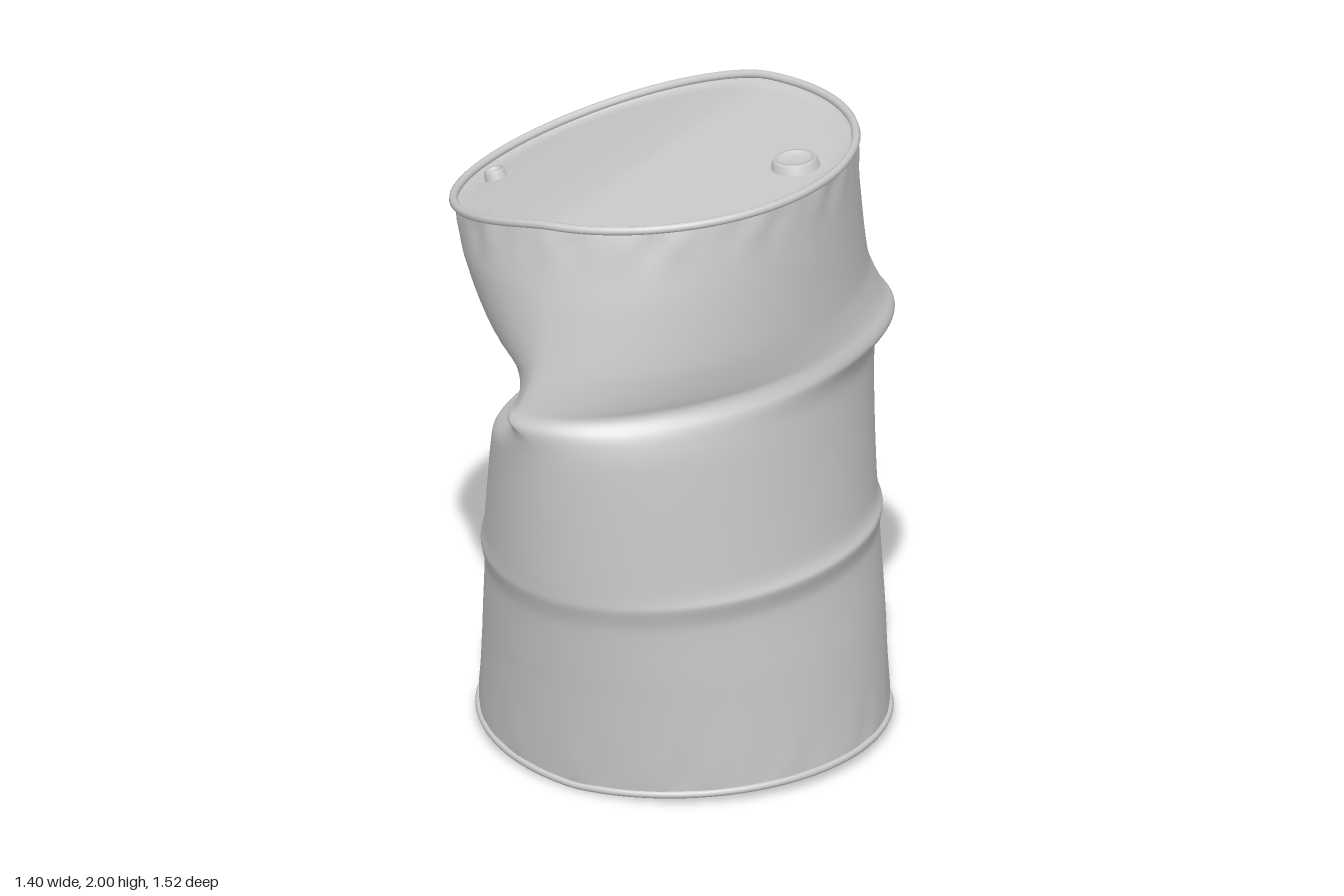
import * as THREE from 'three';

const SEG = 112;

// Body stations, bottom to top: y at left / middle / right of the ring, xMin, xMax, half depth
const STATIONS = [
  [0.045, 0.012, 0.04, -0.60, 0.69, 0.638],
  [0.38, 0.38, 0.38, -0.56, 0.66, 0.675],
  [0.61, 0.61, 0.62, -0.532, 0.632, 0.70],
  [0.69, 0.68, 0.70, -0.537, 0.646, 0.714],
  [0.76, 0.75, 0.77, -0.512, 0.622, 0.717],
  [1.09, 1.19, 1.22, -0.43, 0.58, 0.745],
  [1.235, 1.28, 1.32, -0.17, 0.592, 0.758],
  [1.18, 1.325, 1.38, -0.335, 0.577, 0.748],
  [1.38, 1.46, 1.5, -0.525, 0.57, 0.725],
  [1.6, 1.72, 1.78, -0.63, 0.565, 0.68],
  [1.73, 1.93, 1.985, -0.69, 0.562, 0.641],
];
const LAST = STATIONS.length - 1;
const bell = (t, centre, width) => Math.exp(-(((t - centre) / width) ** 2));

// Smooth blend between stations, plus the rules that shape the buckle
function ringAt(t) {
  const i = Math.min(Math.floor(t), LAST - 1), f = t - i;
  const p = (j) => STATIONS[Math.min(LAST, Math.max(0, j))];
  const f2 = f * f, f3 = f2 * f;
  const [yL, yM, yR, xL, xR, hz] = STATIONS[i].map((b, q) => {
    const c = p(i + 1)[q];
    const m0 = (c - p(i - 1)[q]) * 0.3, m1 = (p(i + 2)[q] - b) * 0.3;
    return (2 * f3 - 3 * f2 + 1) * b + (f3 - 2 * f2 + f) * m0 + (3 * f2 - 2 * f3) * c + (f3 - f2) * m1;
  });
  return {
    yL, yM, yR, xL, xR, hz,
    cx: 0.05 - 0.118 * (t / LAST) ** 3,
    cz: -0.034 * (1 - Math.sin((Math.PI * t) / LAST)),
    point: 0.65 * bell(t, 7.3, 0.9), // the folded flap narrows to a point
    shear: 0.12 * bell(t, 6.5, 1.2), // the crease runs slightly across the z axis
    drift: -0.32 * bell(t, 7, 1), // the tip of the flap lies towards the back
  };
}
const BOTTOM = ringAt(0);
const TOP = ringAt(LAST);

// Height on a ring, c from -1 (left edge) to 1 (right edge)
const ringHeight = (r, c) => r.yM + (c > 0 ? (r.yR - r.yM) * c : (r.yL - r.yM) * (-c) ** 1.2);

// Point of a ring at angle a; k below 1 moves inward across the end discs
function ringPoint(r, a, k = 1) {
  const c = Math.cos(a), s = Math.sin(a), w = Math.max(0, -c);
  const diamond = c < 0 ? 1 - r.point * (1 - 1 / (Math.abs(c) + Math.abs(s))) : 1;
  const reach = c > 0 ? r.xR - r.cx : r.cx - r.xL;
  return new THREE.Vector3(
    r.cx + reach * c * k * diamond - r.shear * s * k,
    ringHeight(r, c * k),
    r.cz + r.hz * s * k * diamond + r.drift * w * w,
  );
}

// Skin a stack of rings
function loft(rows, at) {
  const pos = [], idx = [];
  for (let j = 0; j <= rows; j++) {
    for (let i = 0; i < SEG; i++) pos.push(...at(j, (i / SEG) * Math.PI * 2).toArray());
  }
  for (let j = 0; j < rows; j++) {
    for (let i = 0; i < SEG; i++) {
      const a = j * SEG + i, b = j * SEG + ((i + 1) % SEG);
      idx.push(a, a + SEG, b, b, a + SEG, b + SEG);
    }
  }
  const g = new THREE.BufferGeometry();
  g.setAttribute('position', new THREE.Float32BufferAttribute(pos, 3));
  g.setIndex(idx);
  g.computeVertexNormals();
  return g;
}

export function createModel() {
  const group = new THREE.Group();
  const metal = new THREE.MeshStandardMaterial({ color: 0xcccccc, side: THREE.DoubleSide });
  const add = (name, geometry, parent = group) => {
    const mesh = new THREE.Mesh(geometry, metal);
    mesh.name = name;
    parent.add(mesh);
  };

  // Buckled wall with two ribs and small wrinkles near both ends
  const sub = 8;
  const rings = Array.from({ length: LAST * sub + 1 }, (_, j) => ringAt(j / sub));
  add('barrelWall', loft(LAST * sub, (j, a) => {
    const p = ringPoint(rings[j], a), t = j / sub;
    const near = bell(t, LAST - 0.35, 0.2) + 0.5 * bell(t, 0.25, 0.15);
    const ripple = 0.004 * near * (Math.sin(a * 17) + Math.sin(a * 29 + 1));
    p.x += Math.cos(a) * ripple;
    p.z += Math.sin(a) * ripple;
    return p;
  }));

  // Rolled rims
  const rim = (name, ring, radius) => {
    const pts = Array.from({ length: 48 }, (_, i) => ringPoint(ring, (i / 48) * Math.PI * 2));
    add(name, new THREE.TubeGeometry(new THREE.CatmullRomCurve3(pts, true), SEG, radius, 8, true));
  };
  rim('topRim', TOP, 0.014);
  rim('bottomRim', BOTTOM, 0.012);

  // Recessed end discs, each a flat with a short skirt up to its rim
  const recess = 0.022;
  add('lid', loft(12, (j, a) => {
    const p = ringPoint(TOP, a, j === 0 ? 1 : 0.975 * (1 - (j - 1) / 11));
    if (j > 0) p.y -= recess;
    return p;
  }));
  add('base', loft(8, (j, a) => {
    const p = ringPoint(BOTTOM, a, j < 8 ? (0.975 * j) / 7 : 1);
    if (j < 8) p.y += 0.015;
    return p;
  }));

  // Filler caps that follow the tilt of the lid
  const cap = (name, x, z, r, h, tilt) => {
    const reach = x > TOP.cx ? TOP.xR - TOP.cx : TOP.cx - TOP.xL;
    const holder = new THREE.Group();
    holder.name = name;
    holder.position.set(x, ringHeight(TOP, (x - TOP.cx) / reach) - recess, z);
    holder.rotation.z = tilt;
    const profile = [[1.12, -0.3], [1, 0.7], [0.93, 1], [0.78, 1], [0.72, 0.6], [0, 0.6]];
    add(name + 'Body', new THREE.LatheGeometry(profile.map(([u, v]) => new THREE.Vector2(u * r, v * h)), 24), holder);
    group.add(holder);
  };
  cap('largeCap', 0.39, -0.14, 0.072, 0.03, 0.1);
  cap('smallCap', -0.575, 0.09, 0.033, 0.028, 0.33);

  return group;
}
